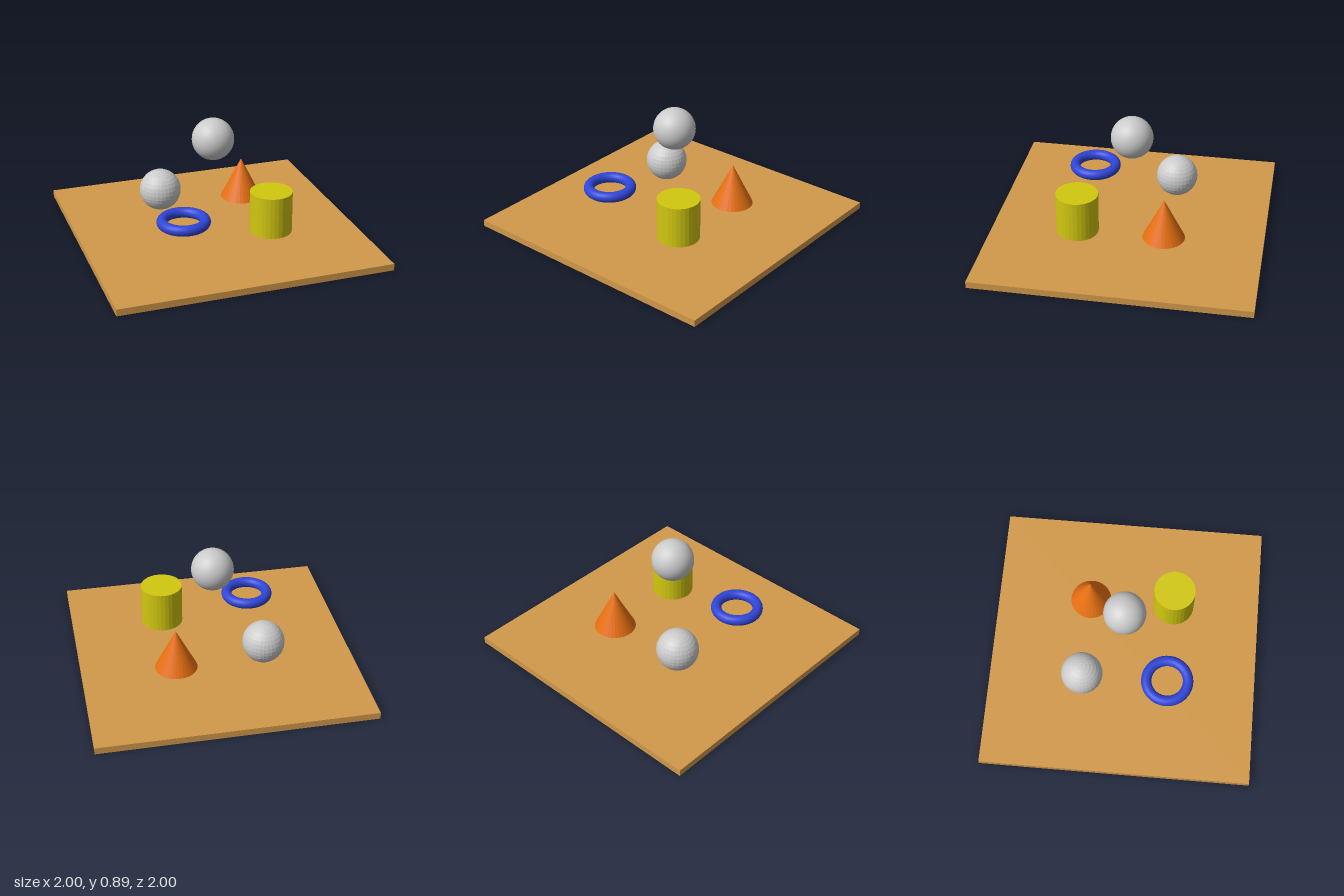
import * as THREE from 'three';

export function createModel() {
  const model = new THREE.Group();

  function add(name, geometry, [x, y, z], color, flatShading = false) {
    const mesh = new THREE.Mesh(geometry, new THREE.MeshStandardMaterial({ color, flatShading }));
    mesh.name = name;
    mesh.position.set(x, y, z);
    model.add(mesh);
  }

  const r = 0.154; // shared radius of the floating solids

  // Square base board
  add('board', new THREE.BoxGeometry(2, 0.05, 2), [0, 0.025, 0], 0xd2994a);

  // Smooth ball above the centre, faceted ball at the back
  add('smoothBall', new THREE.SphereGeometry(r, 48, 32), [0, 0.74, 0], 0xcccccc);
  add('facetedBall', new THREE.SphereGeometry(r, 32, 16), [-0.32, 0.264, -0.292], 0xcccccc, true);

  // Faceted cylinder and cone
  add('cylinder', new THREE.CylinderGeometry(r, r, 2 * r, 32), [0.325, 0.273, 0.346], 0xd2c810, true);
  add('cone', new THREE.ConeGeometry(r, 2 * r, 32), [0.322, 0.277, -0.286], 0xe87012, true);

  // Smooth ring lying flat
  const ring = new THREE.TorusGeometry(r, 0.0385, 24, 64).rotateX(Math.PI / 2);
  add('ring', ring, [-0.333, 0.283, 0.341], 0x2f45d8);

  return model;
}
